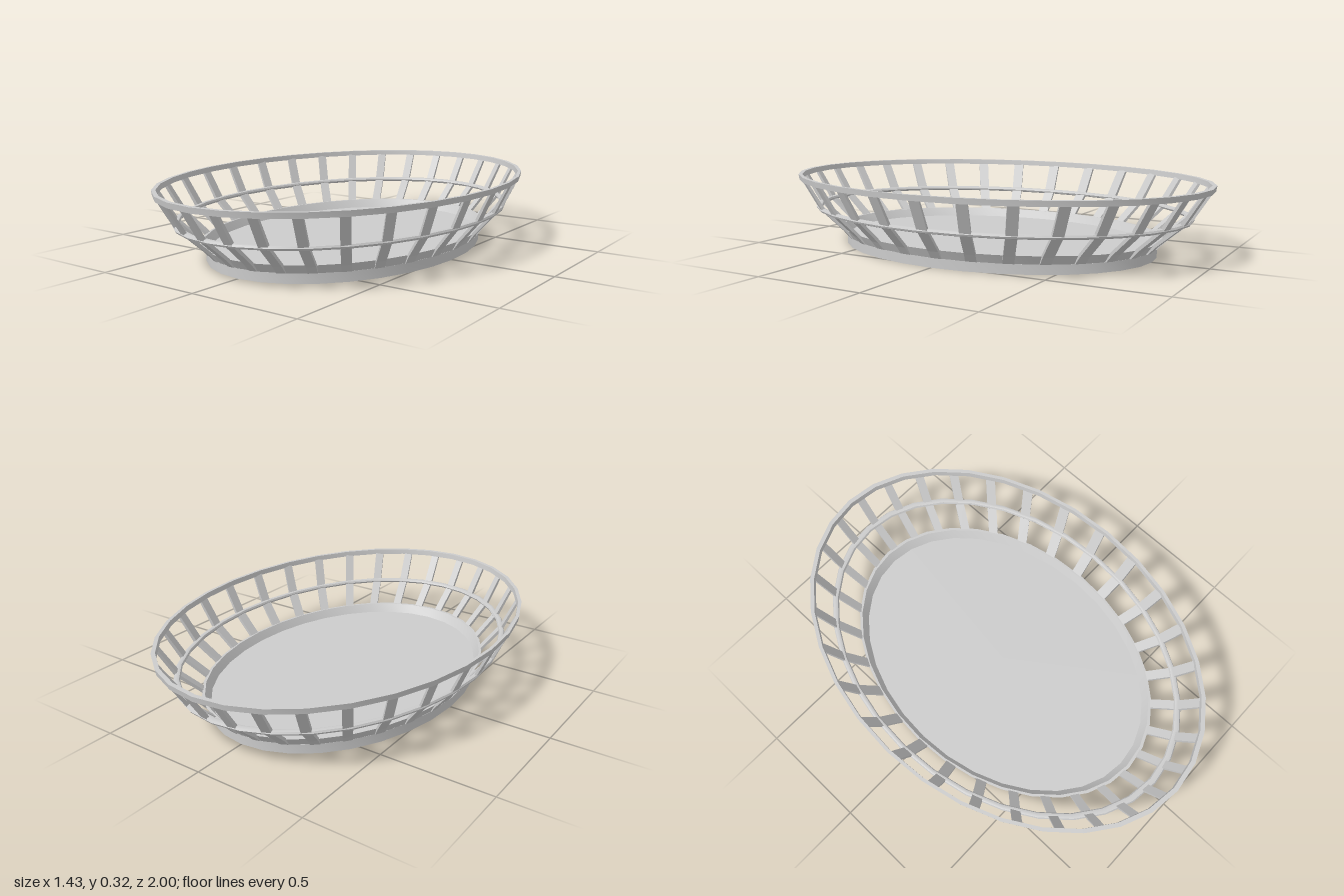
import * as THREE from 'three';
import { toCreasedNormals } from 'three/addons/utils/BufferGeometryUtils.js';

const SEGMENTS = 32;
const SLATS = 30;
const OVAL = 0.715; // width of the oval relative to its length

const material = new THREE.MeshStandardMaterial({ color: 0xcccccc });

// Revolve a [radius, height] outline, listed counter-clockwise
function ring(name, outline) {
  const points = outline.map(([r, y]) => new THREE.Vector2(r, y));
  const geometry = toCreasedNormals(new THREE.LatheGeometry(points, SEGMENTS), 0.6);
  const mesh = new THREE.Mesh(geometry, material);
  mesh.name = name;
  return mesh;
}

export function createModel() {
  const basket = new THREE.Group();
  basket.name = 'ovalBasket';
  // Everything is laid out on a circle, then narrowed into an oval
  basket.scale.x = OVAL;

  // Solid floor disc
  basket.add(ring('floor', [[0, 0], [0.755, 0], [0.755, 0.042], [0, 0.042]]));

  // Flared band above the floor
  basket.add(ring('lowerBand', [
    [0.735, 0.036], [0.75, 0.036], [0.782, 0.08], [0.768, 0.08], [0.735, 0.036],
  ]));

  // Round hoop half way up
  const hoop = [];
  for (let i = 0; i <= 8; i++) {
    const a = (i / 8) * Math.PI * 2;
    hoop.push([0.896 + 0.017 * Math.cos(a), 0.173 + 0.011 * Math.sin(a)]);
  }
  basket.add(ring('middleHoop', hoop));

  // Flat rim
  basket.add(ring('rim', [
    [0.976, 0.3], [0.996, 0.3], [1, 0.324], [0.98, 0.324], [0.976, 0.3],
  ]));

  // Bent slats joining band, hoop and rim
  const outline = [
    [0.744, 0.042], [0.758, 0.042], [0.79, 0.075], [0.905, 0.172],
    [0.992, 0.308], [0.978, 0.308], [0.89, 0.178], [0.772, 0.078],
  ].map(([r, y]) => new THREE.Vector2(r, y));
  const slatGeometry = new THREE.ExtrudeGeometry(new THREE.Shape(outline), {
    depth: 0.05, bevelEnabled: false,
  });
  slatGeometry.translate(0, 0, -0.025);
  const slats = new THREE.Group();
  slats.name = 'slats';
  for (let i = 0; i < SLATS; i++) {
    const slat = new THREE.Mesh(slatGeometry, material);
    slat.name = 'slat';
    slat.rotation.y = THREE.MathUtils.degToRad(2 + (i * 360) / SLATS);
    slats.add(slat);
  }
  basket.add(slats);

  const model = new THREE.Group();
  model.name = 'basket';
  model.add(basket);
  return model;
}
